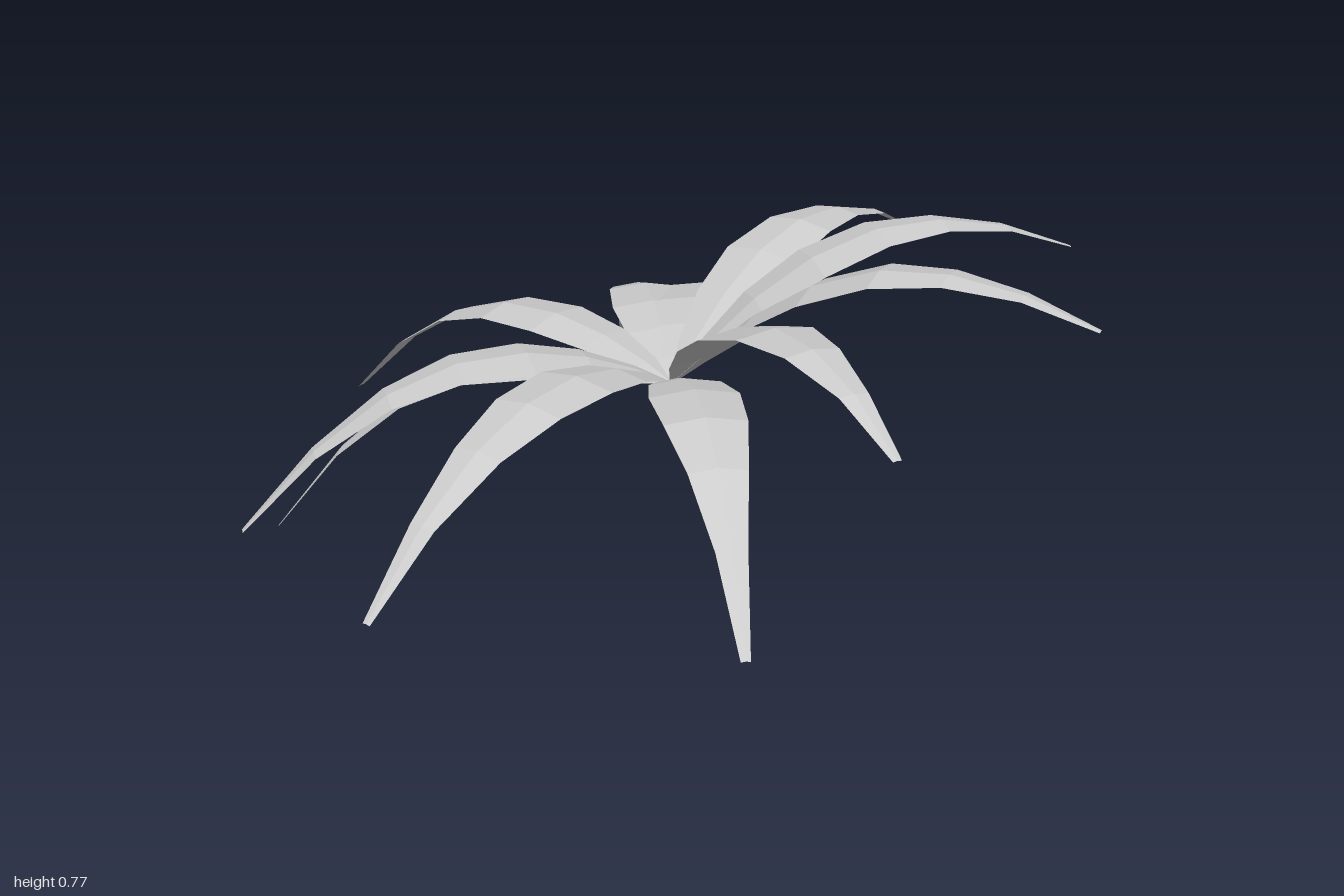
import * as THREE from 'three';

// tip x, tip y, tip z, then distance and height of the highest point of the arch
const LEAVES = [
  [-0.25, 0.16, -0.97, 0.40, 0.51],
  [0.53, 0.15, -0.84, 0.38, 0.49],
  [0.76, 0.13, -0.63, 0.35, 0.50],
  [0.99, 0.53, -0.20, 0.54, 0.68],
  [0.89, 0.66, 0.42, 0.60, 0.755],
  [0.44, 0.69, 0.88, 0.61, 0.77],
  [-0.26, 0.63, 0.97, 0.62, 0.735],
  [-0.54, 0.25, 0.86, 0.45, 0.545],
  [-1.0, 0.23, 0.235, 0.40, 0.545],
  [-0.92, 0.165, -0.41, 0.40, 0.525],
  [-0.68, 0.0, -0.68, 0.34, 0.46],
];
const ROOT_Y = 0.41;

// position along the leaf and half width there
const ROWS = [
  [0, 0.006], [0.08, 0.045], [0.2, 0.082], [0.34, 0.1],
  [0.5, 0.09], [0.66, 0.063], [0.83, 0.033], [1, 0.01],
];

// Arching blade with a shallow ridge along its middle
function leafGeometry([tx, ty, tz, peakR, peakY]) {
  const reach = Math.hypot(tx, tz);
  const dx = tx / reach, dz = tz / reach;
  const positions = [], index = [];
  ROWS.forEach(([t, w], i) => {
    const r = t * reach;
    const y = r < peakR
      ? peakY - (peakY - ROOT_Y) * (1 - r / peakR) ** 2
      : peakY - (peakY - ty) * ((r - peakR) / (reach - peakR)) ** 2;
    for (const s of [-1, 0, 1]) {
      const drop = s === 0 ? 0 : w * 0.15;
      positions.push(dx * r - dz * w * s, y - drop, dz * r + dx * w * s);
    }
    if (i === 0) return;
    for (let k = 0; k < 2; k++) {
      const a = (i - 1) * 3 + k, b = a + 1, c = a + 3, d = a + 4;
      index.push(a, b, c, b, d, c);
    }
  });
  const g = new THREE.BufferGeometry();
  g.setAttribute('position', new THREE.Float32BufferAttribute(positions, 3));
  g.setIndex(index);
  const flat = g.toNonIndexed();
  flat.computeVertexNormals();
  return flat;
}

export function createModel() {
  const plant = new THREE.Group();
  plant.name = 'plant';
  const leafGrey = new THREE.MeshStandardMaterial({
    color: 0xcccccc, side: THREE.DoubleSide, flatShading: true,
  });
  leafGrey.name = 'leaf grey';

  LEAVES.forEach((leaf, i) => {
    const mesh = new THREE.Mesh(leafGeometry(leaf), leafGrey);
    mesh.name = `leaf${i + 1}`;
    plant.add(mesh);
  });
  return plant;
}
